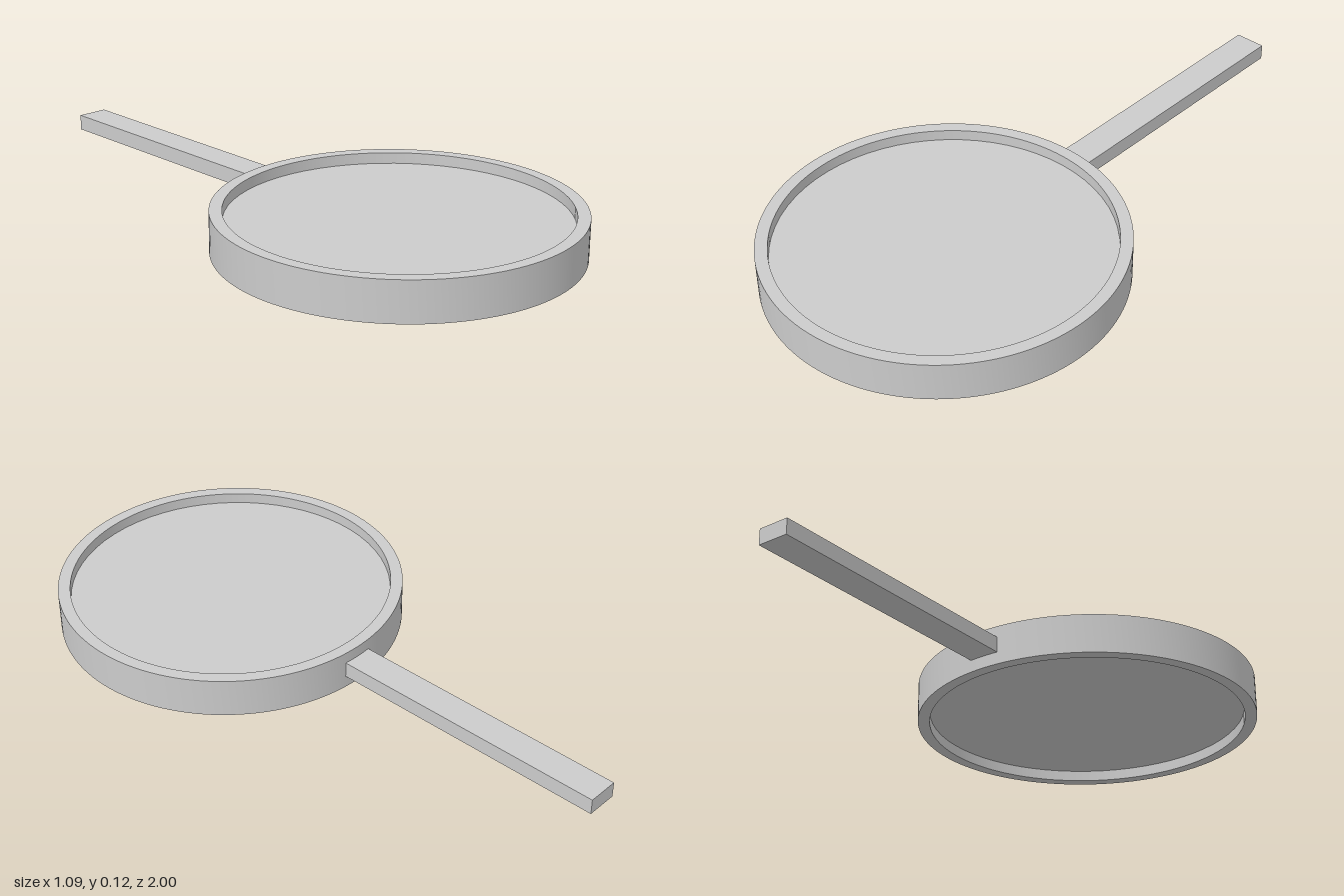
import * as THREE from 'three';
import { toCreasedNormals } from 'three/addons/utils/BufferGeometryUtils.js';

const OUTER = 0.545, INNER = 0.507, HEIGHT = 0.125, CENTER_Z = 0.455;

export function createModel() {
  const group = new THREE.Group();
  const material = new THREE.MeshStandardMaterial({ color: 0xcccccc });

  const add = (name, geometry, y, z) => {
    const mesh = new THREE.Mesh(geometry, material);
    mesh.name = name;
    mesh.position.set(0, y, z);
    group.add(mesh);
  };

  // Round frame: a flat ring extruded upwards
  const ring = new THREE.Shape().absarc(0, 0, OUTER, 0, Math.PI * 2, false);
  ring.holes.push(new THREE.Path().absarc(0, 0, INNER, 0, Math.PI * 2, true));
  const frame = new THREE.ExtrudeGeometry(ring, { depth: HEIGHT, bevelEnabled: false, curveSegments: 64 });
  frame.rotateX(-Math.PI / 2);
  add('frame', toCreasedNormals(frame, 0.6), 0, CENTER_Z);

  // Lens disc, recessed on both faces of the frame
  add('lens', new THREE.CylinderGeometry(INNER, INNER, 0.056, 64), HEIGHT / 2, CENTER_Z);

  // Straight handle, its inner end sunk slightly into the frame
  const start = -0.08, end = -1;
  add('handle', new THREE.BoxGeometry(0.1, 0.05, start - end), 0.064, (start + end) / 2);

  return group;
}
